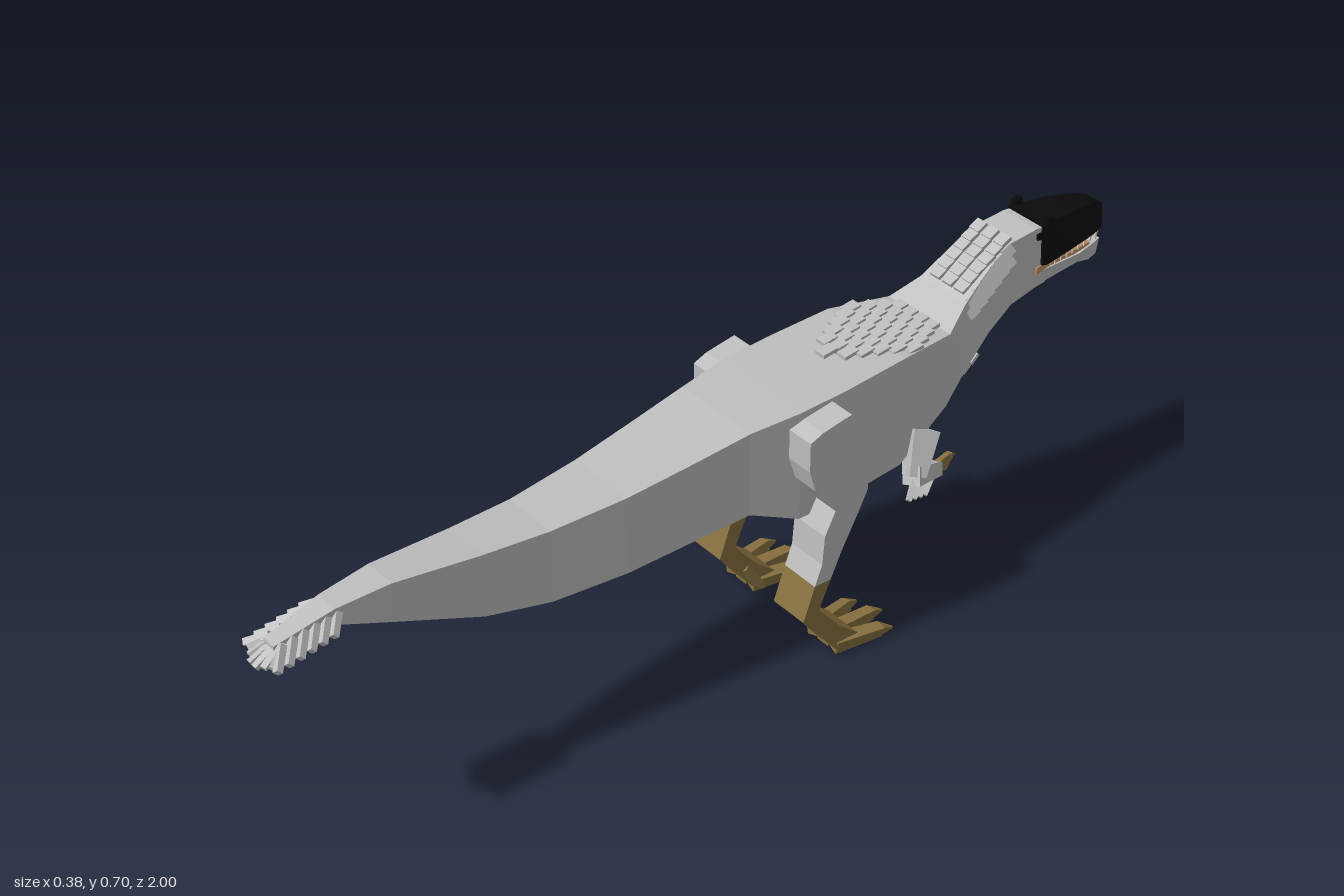
import * as THREE from 'three';

const mat = (name, color) => {
  const m = new THREE.MeshStandardMaterial({ color, flatShading: true });
  m.name = name;
  return m;
};

// Four-cornered tube through sections [z, yTop, yBottom, halfWidthTop, halfWidthBottom], z rising
function loft(sections, x = 0) {
  const rings = sections.map(([z, t, b, wt, wb]) =>
    [[x - wb, b, z], [x + wb, b, z], [x + wt, t, z], [x - wt, t, z]]);
  const pos = [];
  const quad = (a, b, c, d) => pos.push(...a, ...b, ...c, ...a, ...c, ...d);
  for (let i = 0; i < rings.length - 1; i++) {
    const a = rings[i], b = rings[i + 1];
    for (let j = 0; j < 4; j++) quad(a[j], a[(j + 1) % 4], b[(j + 1) % 4], b[j]);
  }
  const s = rings[0], e = rings[rings.length - 1];
  quad(s[3], s[2], s[1], s[0]);
  quad(e[0], e[1], e[2], e[3]);
  const g = new THREE.BufferGeometry();
  g.setAttribute('position', new THREE.Float32BufferAttribute(pos, 3));
  g.computeVertexNormals();
  return g;
}

// Side outline of [z, y] points extruded from x0 to x1
function slab(points, x0, x1) {
  const shape = new THREE.Shape(points.map(([z, y]) => new THREE.Vector2(-z, y)));
  return new THREE.ExtrudeGeometry(shape, { depth: x1 - x0, bevelEnabled: false })
    .rotateY(Math.PI / 2).translate(x0, 0, 0);
}

// Tapered square rod between two points
function rod(a, b, ra, rb) {
  const from = new THREE.Vector3(...a), to = new THREE.Vector3(...b);
  const dir = to.clone().sub(from);
  const g = new THREE.CylinderGeometry(rb, ra, dir.length(), 4).rotateY(Math.PI / 4);
  g.applyQuaternion(new THREE.Quaternion().setFromUnitVectors(new THREE.Vector3(0, 1, 0), dir.normalize()));
  return g.translate((from.x + to.x) / 2, (from.y + to.y) / 2, (from.z + to.z) / 2);
}

export function createModel() {
  const root = new THREE.Group();
  root.name = 'feathered dinosaur';
  const grey = mat('grey hide', 0xbdbdbd), brown = mat('brown scale', 0x86703f);
  const black = mat('black mask', 0x0b0b0b), tan = mat('tan gum', 0xc58f5e);
  const ivory = mat('ivory tooth', 0xe6dcc4);
  const add = (name, geo, material, parent = root) => {
    const m = new THREE.Mesh(geo, material);
    m.name = name;
    parent.add(m);
    return m;
  };
  const group = (name) => {
    const g = new THREE.Group();
    g.name = name;
    root.add(g);
    return g;
  };

  // Head, neck, trunk and tail
  add('body', loft([
    [-0.82, 0.683, 0.555, 0.045, 0.052], [-0.79, 0.685, 0.555, 0.047, 0.055],
    [-0.72, 0.68, 0.545, 0.048, 0.06], [-0.66, 0.65, 0.505, 0.054, 0.063],
    [-0.59, 0.602, 0.445, 0.065, 0.072], [-0.53, 0.568, 0.4, 0.088, 0.088],
    [-0.39, 0.583, 0.335, 0.112, 0.112], [-0.24, 0.577, 0.327, 0.117, 0.117],
    [-0.13, 0.573, 0.328, 0.115, 0.115], [-0.02, 0.566, 0.38, 0.1, 0.1],
    [0.1, 0.55, 0.372, 0.09, 0.09], [0.25, 0.532, 0.361, 0.077, 0.077],
    [0.41, 0.525, 0.365, 0.062, 0.062], [0.55, 0.533, 0.395, 0.051, 0.051],
    [0.73, 0.55, 0.465, 0.036, 0.036], [0.84, 0.543, 0.508, 0.026, 0.026],
    [0.96, 0.515, 0.503, 0.016, 0.016]]), grey);

  // Upper jaw mask, gums and lower jaw
  add('mask', loft([
    [-1, 0.655, 0.6, 0.021, 0.026], [-0.97, 0.668, 0.597, 0.026, 0.032],
    [-0.9, 0.68, 0.597, 0.037, 0.044], [-0.82, 0.688, 0.597, 0.049, 0.056],
    [-0.805, 0.69, 0.6, 0.05, 0.056]]), black);
  add('gum', loft([
    [-0.985, 0.6, 0.588, 0.022, 0.022], [-0.79, 0.599, 0.585, 0.056, 0.056]]), tan);
  add('lower jaw', loft([
    [-1, 0.574, 0.535, 0.022, 0.016], [-0.975, 0.572, 0.532, 0.028, 0.022],
    [-0.93, 0.57, 0.548, 0.036, 0.032], [-0.81, 0.585, 0.555, 0.052, 0.05]]), grey);
  add('lower gum', loft([
    [-0.97, 0.577, 0.57, 0.025, 0.025], [-0.81, 0.588, 0.575, 0.048, 0.05]]), tan);
  const teeth = group('teeth');
  for (const s of [1, -1]) {
    for (let i = 0; i < 9; i++) {
      const z = -0.985 + i * 0.019, x = s * (0.025 + i * 0.0028);
      add('tooth', rod([x, 0.599, z], [x, 0.578, z], 0.005, 0.001), ivory, teeth);
    }
    add('brow horn', new THREE.BoxGeometry(0.012, 0.025, 0.018).translate(s * 0.046, 0.69, -0.825), black);
    add('eye', rod([s * 0.045, 0.667, -0.797], [s * 0.053, 0.667, -0.797], 0.009, 0.009), black);
  }

  // Legs
  for (const s of [1, -1]) {
    const leg = group(s > 0 ? 'left leg' : 'right leg');
    const span = (a, b) => (s > 0 ? [a, b] : [-b, -a]);
    const [x0, x1] = span(0.083, 0.172);
    add('thigh', slab([
      [-0.105, 0.545], [-0.135, 0.557], [-0.205, 0.568], [-0.232, 0.54], [-0.25, 0.48], [-0.253, 0.375],
      [-0.225, 0.32], [-0.19, 0.255], [-0.165, 0.2], [-0.125, 0.2], [-0.142, 0.245],
      [-0.147, 0.31], [-0.172, 0.36], [-0.12, 0.43], [-0.105, 0.48]], x0, x1), grey, leg);
    add('shank', slab([
      [-0.125, 0.2], [-0.165, 0.2], [-0.137, 0.137], [-0.195, 0.068], [-0.24, 0.03],
      [-0.24, 0.004], [-0.193, 0.004], [-0.148, 0.07], [-0.098, 0.125]], x0, x1), brown, leg);
    // Three splayed toes with claws
    for (const k of [-1, 0, 1]) {
      const cx = s * 0.127 + k * 0.03, tip = s * 0.127 + k * 0.05, z = k ? -0.295 : -0.315;
      add('toe', rod([cx, 0.017, -0.19], [tip, 0.014, z], 0.022, 0.016), brown, leg);
      add('claw', rod([tip, 0.014, z], [tip + k * 0.004, 0.005, z - 0.03], 0.014, 0.003), brown, leg);
    }
    add('inner toe', rod([s * 0.09, 0.07, -0.165], [s * 0.07, 0.015, -0.2], 0.016, 0.007), brown, leg);

    // Arms
    const arm = group(s > 0 ? 'left arm' : 'right arm');
    add('upper arm', rod([s * 0.1, 0.385, -0.455], [s * 0.128, 0.305, -0.415], 0.04, 0.026), grey, arm);
    add('forearm', rod([s * 0.13, 0.312, -0.405], [s * 0.107, 0.278, -0.495], 0.028, 0.02), grey, arm);
    for (let i = 0; i < 4; i++) {
      const z = -0.41 - i * 0.02, y = 0.3 - i * 0.008;
      add('arm feather', rod([s * (0.135 - i * 0.005), y, z], [s * (0.152 - i * 0.006), y - 0.025, z + 0.03], 0.009, 0.007), grey, arm);
    }
    for (const k of [-1, 0, 1]) {
      const y = 0.278 + k * 0.012, x = 0.106 + k * 0.006;
      add('finger', rod([s * x, y, -0.49], [s * (x - 0.004), y + k * 0.006, -0.527], 0.009, 0.008), brown, arm);
      add('finger claw', rod([s * (x - 0.004), y + k * 0.006, -0.527], [s * (x - 0.008), y - 0.004, -0.548], 0.008, 0.001), brown, arm);
    }
  }

  // Overlapping feather plates on the back, neck and chest
  const plate = (name, parent, x, y, z, w, l, tilt, roll = 0) => {
    const p = add(name, new THREE.BoxGeometry(w, 0.008, l), grey, parent);
    p.position.set(x, y, z);
    p.rotation.set(tilt, 0, roll);
  };
  const back = group('back feathers');
  for (let r = 0; r < 9; r++) {
    const z = -0.29 - r * 0.028, n = [1, 3, 4, 5, 6, 7, 6, 5, 4][r];
    const y = z > -0.39 ? 0.583 : 0.583 + (z + 0.39) * 0.107;
    for (let i = 0; i < n; i++) {
      plate('back feather', back, (i - (n - 1) / 2) * 0.03, y + 0.002, z, 0.025, 0.034, 0.12);
    }
  }
  const neck = group('neck feathers');
  for (let r = 0; r < 6; r++) {
    const z = -0.61 - r * 0.02, y = 0.617 + r * 0.0133, w = 0.058 - r * 0.002;
    for (const k of [-1, 0, 1]) plate('neck feather', neck, k * 0.034, y + 0.002, z, 0.026, 0.026, 0.45);
    for (const s of [1, -1]) {
      for (const d of [0, 1]) {
        plate('side neck feather', neck, s * (w + 0.003 + d * 0.004), y - 0.016 - d * 0.024, z, 0.022, 0.026, 0.45, -s * 1.2);
      }
    }
  }
  const chest = group('chest feathers');
  for (let r = 0; r < 5; r++) {
    for (let i = 0; i < 5; i++) {
      plate('chest feather', chest, (i - 2) * 0.029, 0.405 + r * 0.0145, -0.54 - r * 0.02, 0.024, 0.026, 0.75);
    }
  }

  // Tail fan: pairs along the sides and a spread at the tip
  const fan = group('tail fan');
  for (const s of [1, -1]) {
    for (let i = 0; i < 6; i++) {
      const z = 0.83 + i * 0.023, y = 0.532 - i * 0.004;
      add('side tail feather', rod([s * 0.018, y, z], [s * 0.053, y - 0.022, z + 0.032], 0.01, 0.009), grey, fan);
    }
    for (let i = 0; i < 3; i++) {
      add('tip tail feather', rod([s * (0.004 + i * 0.006), 0.51, 0.94],
        [s * (0.008 + i * 0.015), 0.482 + i * 0.004, 0.995 - i * 0.008], 0.009, 0.008), grey, fan);
    }
  }
  return root;
}
